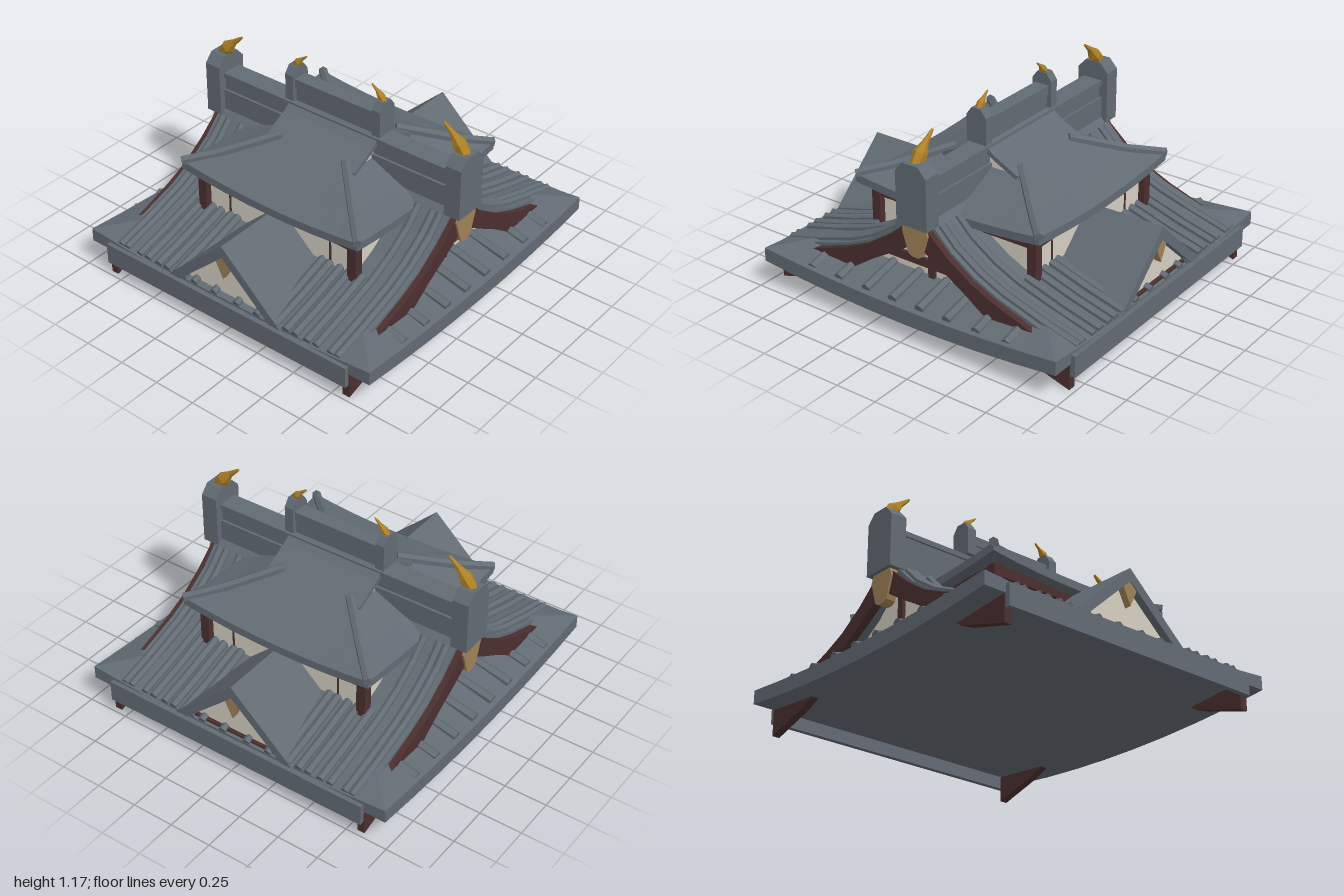
import * as THREE from 'three';

const mat = (name, color) => {
  const m = new THREE.MeshStandardMaterial({ color, flatShading: true, side: THREE.DoubleSide });
  m.name = name;
  return m;
};

export function createModel() {
  const slate = mat('slate tile', 0x626b73);
  const red = mat('dark red timber', 0x4c2f2f);
  const cream = mat('cream plaster', 0xd6d0c2);
  const gold = mat('gold', 0xae8126);
  const tan = mat('tan wood', 0xa08258);
  const model = new THREE.Group();
  const SIDES = [-1, 1];

  const add = (name, geo, m) => {
    const mesh = new THREE.Mesh(geo, m);
    mesh.name = name;
    model.add(mesh);
    return mesh;
  };
  // box given by its min and max on each axis
  const box = (name, m, x0, x1, y0, y1, z0, z1) =>
    add(name, new THREE.BoxGeometry(Math.abs(x1 - x0), y1 - y0, Math.abs(z1 - z0))
      .translate((x0 + x1) / 2, (y0 + y1) / 2, (z0 + z1) / 2), m);
  // flat outline extruded along z, centred on the given z
  const extrude = (pts, depth, z = 0) => new THREE.ExtrudeGeometry(
    new THREE.Shape(pts.map(p => new THREE.Vector2(p[0], p[1]))), { depth, bevelEnabled: false })
    .translate(0, 0, z - depth / 2);
  // outline in (z, y) extruded along x, centred on the given x
  const extrudeX = (pts, depth, x = 0) => extrude(pts, depth).rotateY(-Math.PI / 2).translate(x, 0, 0);
  const mirrored = half => [...half, ...half.map(([a, b]) => [-a, b]).reverse()];

  // closed rings of [x, y, z] joined into a skin, optionally capped
  const loft = (rings, capped = false) => {
    const n = rings[0].length, pos = rings.flat(2), idx = [];
    for (let r = 0; r < rings.length - 1; r++) {
      for (let i = 0; i < n; i++) {
        const a = r * n + i, b = r * n + (i + 1) % n;
        idx.push(a, b, a + n, b, b + n, a + n);
      }
    }
    if (capped) {
      const e = (rings.length - 1) * n;
      for (let i = 1; i < n - 1; i++) idx.push(0, i + 1, i, e, e + i, e + i + 1);
    }
    const g = new THREE.BufferGeometry();
    g.setAttribute('position', new THREE.Float32BufferAttribute(pos, 3));
    g.setIndex(idx);
    g.computeVertexNormals();
    return g;
  };
  // square ring with half-size s; height is a function of the position along the rim
  const SEG = 8;
  const squareRing = (s, height) => {
    const ring = [];
    for (let k = 0; k < 4; k++) {
      for (let i = 0; i < SEG; i++) {
        const t = -1 + 2 * i / SEG;
        const [u, v] = [[t, 1], [1, -t], [-t, -1], [-1, t]][k];
        ring.push([u * s, height(u, v), v * s]);
      }
    }
    return ring;
  };
  // bar swept along a path of [x, y, z, radius]
  const sweep = (path, sides) => {
    const P = path.map(p => new THREE.Vector3(p[0], p[1], p[2]));
    return loft(P.map((p, i) => {
      const dir = P[Math.min(i + 1, P.length - 1)].clone().sub(P[Math.max(i - 1, 0)]).normalize();
      const side = new THREE.Vector3(0, 1, 0).cross(dir).normalize();
      const up = dir.clone().cross(side);
      return Array.from({ length: sides }, (_, k) => {
        const a = (k + 0.5) / sides * Math.PI * 2;
        return p.clone().addScaledVector(side, Math.cos(a) * path[i][3])
          .addScaledVector(up, Math.sin(a) * path[i][3]).toArray();
      });
    }), true);
  };

  // Eave skirt: shallow hipped rim with lifted corners and a bowed underside
  const rim = (u, v) => 0.2 + 0.045 * u * u * v * v;
  const under = d => (u, v) => 0.11 + 0.055 * (v * d) ** 2;
  add('eaveSkirt', loft([
    squareRing(0.68, (u, v) => 0.285 + 0.02 * u * u * v * v),
    squareRing(0.975, rim), squareRing(0.975, under(1)),
    squareRing(0.65, under(0.667)), squareRing(0.33, under(0.333)), squareRing(0.001, under(0)),
  ]), slate);
  for (const s of SIDES) box('eaveFascia', slate, -0.84, 0.84, 0.09, 0.215, s * 0.97, s);

  // Main gable roof, concave on both slopes
  const slope = [[0, 0.73], [0.1, 0.63], [0.2, 0.53], [0.35, 0.43], [0.5, 0.36], [0.75, 0.28], [0.965, 0.222]];
  const top = [...slope.slice(1).reverse().map(([z, y]) => [-z, y]), ...slope];
  add('mainRoof', extrudeX([...top, ...top.map(([z, y]) => [z, y - 0.05]).reverse()], 1.62), slate);

  // Tile ribs running down the main roof, short ones below the upper house
  const rib = (x, from, r) => {
    const pts = slope.filter(p => p[0] >= from);
    for (const sx of SIDES) for (const sz of SIDES) {
      add('roofRib', sweep(pts.map(([z, y]) => [sx * x, y + 0.005, sz * z, r]), 6), slate);
    }
  };
  [0.62, 0.715, 0.76].forEach(x => rib(x, 0.1, 0.024));
  [0.3, 0.35, 0.42, 0.48, 0.56].forEach(x => rib(x, 0.5, 0.026));
  [0.08, 0.22].forEach(x => rib(x, 0.7, 0.024));
  for (const sx of SIDES) for (const z of [0.09, 0.27, 0.46, 0.65]) for (const sz of SIDES) {
    add('skirtRib', sweep([[sx * 0.68, 0.28, sz * z, 0.03], [sx * 0.95, 0.217, sz * z, 0.03]], 6), slate);
  }

  // Gable ends: curved bargeboards, recessed wall, timber cross and pendant
  const board = [[0.05, 0.645], [0.2, 0.515], [0.35, 0.413], [0.5, 0.345], [0.76, 0.255], [0.97, 0.16],
    [0.97, 0.01], [0.7, 0.09], [0.62, 0.125], [0.45, 0.24], [0.3, 0.345], [0.15, 0.435], [0.05, 0.5]];
  for (const s of SIDES) {
    for (const sz of SIDES) {
      add('bargeboard', extrudeX(board.map(([z, y]) => [sz * z, y]), 0.045, s * 0.823), red);
    }
    add('gableWall', extrudeX(mirrored([[0.5, 0.22], [0.5, 0.32], [0.3, 0.42], [0.1, 0.59]]), 0.02, s * 0.7), cream);
    box('gablePost', red, s * 0.7, s * 0.73, 0.22, 0.58, -0.02, 0.02);
    box('gableBeam', red, s * 0.7, s * 0.73, 0.325, 0.375, -0.4, 0.4);
    add('gablePendant', extrudeX(mirrored([[0.07, 0.64], [0.085, 0.6], [0.045, 0.47], [0.02, 0.455]]), 0.06, s * 0.828), tan);
  }

  // Main ridge and its end blocks
  box('mainRidgeBase', slate, -0.8, 0.8, 0.64, 0.79, -0.065, 0.065);
  box('mainRidge', slate, -0.8, 0.8, 0.79, 0.87, -0.05, 0.05);
  box('mainRidgeCap', slate, -0.8, 0.8, 0.865, 0.895, -0.062, 0.062);
  for (const s of SIDES) {
    add('mainRidgeEnd', extrudeX(mirrored([[0.1, 0.64], [0.1, 0.945], [0.05, 1.0]]), 0.1, s * 0.83), slate);
  }

  // Front and back triangular dormer
  const chevron = (w, eave, peak, t) => [[-w, eave], [0, peak], [w, eave], [w - t, eave], [0, peak - t], [t - w, eave]];
  add('dormerRoof', extrude(chevron(0.4, 0.205, 0.575, 0.075), 1.95), slate);
  for (const s of SIDES) {
    add('dormerWall', extrude([[-0.35, 0.2], [0.35, 0.2], [0, 0.52]], 0.02, s * 0.92), cream);
    add('dormerPendant', extrude([[-0.05, 0.465], [0, 0.51], [0.05, 0.465], [0, 0.36]], 0.04, s * 0.95), tan);
  }
  box('dormerSill', red, -0.28, 0.28, 0.21, 0.24, -0.95, -0.92);

  // Upper house: plaster walls with timber frame
  box('houseWalls', cream, -0.51, 0.51, 0.25, 0.585, -0.51, 0.51);
  for (const s of SIDES) {
    box('houseBeam', red, -0.55, 0.55, 0.53, 0.59, s * 0.5, s * 0.54);
    box('houseBeam', red, s * 0.5, s * 0.54, 0.53, 0.59, -0.55, 0.55);
    for (const sz of SIDES) {
      box('housePost', red, s * 0.495, s * 0.55, 0.25, 0.59, sz * 0.495, sz * 0.55);
      box('wallSlat', red, s * 0.346, s * 0.356, 0.34, 0.5, sz * 0.51, sz * 0.516);
    }
  }

  // Upper hipped roof with curled corners
  const curl = (y, lift) => (u, v) => y + lift * u * u * v * v;
  add('upperHipRoof', loft([
    squareRing(0.2, curl(0.8, 0)), squareRing(0.32, curl(0.745, 0.005)), squareRing(0.46, curl(0.68, 0.015)),
    squareRing(0.61, curl(0.622, 0.04)), squareRing(0.61, curl(0.575, 0.04)), squareRing(0.001, curl(0.585, 0)),
  ]), slate);
  for (const sx of SIDES) for (const sz of SIDES) {
    add('hipRidge', sweep([[0.61, 0.662], [0.46, 0.7], [0.32, 0.755], [0.22, 0.795]]
      .map(([d, y]) => [sx * d, y, sz * d, 0.027]), 6), slate);
  }

  // Upper gable roof, its plaster ends and ridge
  add('upperGableRoof', extrudeX([[-0.255, 0.775], [-0.1, 0.855], [0, 0.93], [0.1, 0.855], [0.255, 0.775],
    [0.24, 0.755], [0.1, 0.825], [0, 0.89], [-0.1, 0.825], [-0.24, 0.755]], 0.61), slate);
  add('upperGableWall', extrudeX([[-0.22, 0.74], [0.22, 0.74], [0.1, 0.83], [0, 0.9], [-0.1, 0.83]], 0.55), cream);
  box('upperRidge', slate, -0.28, 0.28, 0.87, 0.985, -0.035, 0.035);
  box('upperRidgeCap', slate, -0.28, 0.28, 0.985, 1.04, -0.045, 0.045);
  for (const s of SIDES) {
    add('upperRidgeEnd', extrudeX(mirrored([[0.063, 0.91], [0.063, 1.065], [0.03, 1.11]]), 0.055, s * 0.298), slate);
  }

  // Gold finials leaning inward from the ridge ends
  const finial = [[0, 0, 0.035], [-0.04, 0.055, 0.04], [-0.085, 0.1, 0.018], [-0.145, 0.15, 0.007]];
  for (const s of SIDES) for (const [x, y, k] of [[0.835, 0.98, 1], [0.305, 1.095, 0.57]]) {
    add('finial', sweep(finial.map(([dx, dy, r]) => [s * (x + dx * k), y + dy * k, 0, r * k]), 6), gold);
  }
  return model;
}
